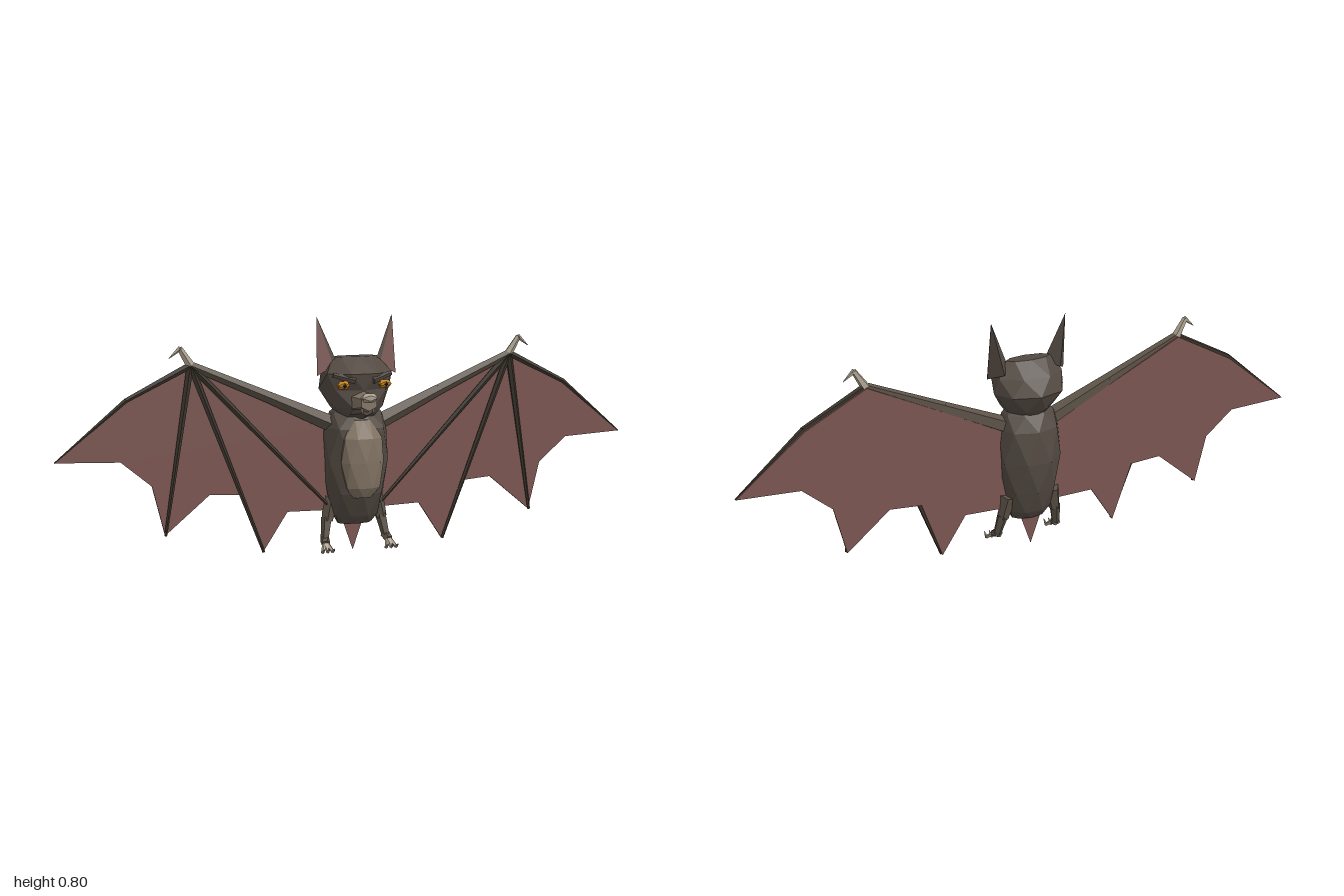
import * as THREE from 'three';
import { ConvexGeometry } from 'three/addons/geometries/ConvexGeometry.js';

const mat = (name, color, side = THREE.FrontSide) => {
  const m = new THREE.MeshStandardMaterial({ color, side });
  m.name = name;
  return m;
};
const V = (x, y, z) => new THREE.Vector3(x, y, z);

// Unshared vertices give crisp facets
function facet(g) {
  const f = g.index ? g.toNonIndexed() : g;
  f.computeVertexNormals();
  return f;
}

// Stack of eight-sided rings; each row is [y, halfWidth, zBack, zFront]
function loft(rows, n = 8) {
  const pos = [], idx = [];
  rows.forEach(([y, w, zb, zf], r) => {
    for (let i = 0; i < n; i++) {
      const a = ((i + 0.5 * (r % 2)) / n) * Math.PI * 2;
      pos.push(Math.sin(a) * w, y, (zb + zf) / 2 + Math.cos(a) * (zf - zb) / 2);
    }
  });
  for (let r = 0; r < rows.length - 1; r++) {
    const s = r % 2;
    for (let i = 0; i < n; i++) {
      const j = (i + 1) % n, a = r * n + i, b = r * n + j, c = a + n, d = b + n;
      if (s) idx.push(a, b, d, a, d, c);
      else idx.push(a, b, c, b, d, c);
    }
  }
  const top = (rows.length - 1) * n;
  for (let i = 1; i < n - 1; i++) idx.push(0, i + 1, i, top, top + i, top + i + 1);
  const g = new THREE.BufferGeometry();
  g.setAttribute('position', new THREE.Float32BufferAttribute(pos, 3));
  g.setIndex(idx);
  return facet(g);
}

// Tapered rod from a to b
function rod(a, b, ra, rb, sides = 5) {
  const d = b.clone().sub(a);
  const g = new THREE.CylinderGeometry(rb, ra, d.length(), sides);
  g.applyQuaternion(new THREE.Quaternion().setFromUnitVectors(V(0, 1, 0), d.normalize()));
  g.translate((a.x + b.x) / 2, (a.y + b.y) / 2, (a.z + b.z) / 2);
  return facet(g);
}

export function createModel() {
  const root = new THREE.Group();
  root.name = 'bat';
  const fur = mat('darkFur', 0x524941);
  const limb = mat('limbFur', 0x5c5247);
  const bone = mat('fingerBone', 0x3b352d);
  const belly = mat('bellyFur', 0x7f7161);
  const skin = mat('wingSkin', 0x7a5551, THREE.DoubleSide);
  const claw = mat('claw', 0xaaa08e);
  const amber = mat('amberEye', 0xc9851f);
  const black = mat('pupil', 0x1d1916);

  const add = (name, g, m, parent = root) => {
    const mesh = new THREE.Mesh(g, m);
    mesh.name = name;
    parent.add(mesh);
    return mesh;
  };

  // Torso, belly patch and head
  add('torso', loft([
    [0.10, 0.06, -0.06, 0.0], [0.13, 0.08, -0.082, 0.025], [0.21, 0.1, -0.11, 0.065],
    [0.32, 0.112, -0.128, 0.075], [0.43, 0.11, -0.115, 0.068], [0.48, 0.09, -0.085, 0.035],
    [0.51, 0.06, -0.06, 0.02],
  ]), fur);
  add('bellyPatch', loft([
    [0.20, 0.035, 0.02, 0.066], [0.235, 0.062, 0.01, 0.086], [0.32, 0.075, 0.01, 0.09],
    [0.40, 0.07, 0.01, 0.084], [0.46, 0.035, 0.01, 0.055],
  ]), belly);
  add('head', loft([
    [0.47, 0.065, -0.07, 0.05], [0.50, 0.09, -0.098, 0.066], [0.56, 0.125, -0.132, 0.064],
    [0.615, 0.122, -0.105, 0.078], [0.665, 0.078, -0.055, 0.0],
  ]), fur);

  // Face
  const muzzle = add('muzzle', rod(V(0, 0.518, 0.03), V(0, 0.525, 0.115), 0.045, 0.027, 6), belly);
  muzzle.scale.x = 1.15;
  add('lowerJaw', rod(V(0, 0.495, 0.03), V(0, 0.497, 0.095), 0.038, 0.016, 6), fur).scale.x = 1.4;
  const nose = add('nose', facet(new THREE.IcosahedronGeometry(0.017, 0)), claw);
  nose.position.set(0, 0.542, 0.116);
  nose.scale.x = 1.9;

  // Tail membrane
  const tail = new THREE.Shape([
    new THREE.Vector2(-0.07, 0.16), new THREE.Vector2(-0.035, 0.1), new THREE.Vector2(0, 0),
    new THREE.Vector2(0.035, 0.1), new THREE.Vector2(0.07, 0.16)]);
  add('tailMembrane', new THREE.ShapeGeometry(tail).translate(0, 0, -0.05), skin);

  for (const s of [1, -1]) {
    const P = (x, y, z) => V(x * s, y, z);
    const side = new THREE.Group();
    side.name = s > 0 ? 'leftSide' : 'rightSide';
    root.add(side);
    const put = (name, g, m) => add(name, g, m, side);

    // Wing skin
    const outline = [[0.04, 0.42], [0.1, 0.43], [0.56, 0.655], [0.77, 0.545], [1, 0.36],
      [0.79, 0.35], [0.69, 0.265], [0.65, 0.1], [0.5, 0.225], [0.39, 0.217],
      [0.32, 0.02], [0.235, 0.15], [0.04, 0.145]];
    const wing = new THREE.Shape(outline.map(([x, y]) => new THREE.Vector2(x * s, y)));
    put('wingMembrane', new THREE.ExtrudeGeometry(wing, { depth: 0.007, bevelEnabled: false })
      .translate(0, 0, -0.042), skin);

    // Arm, finger bones and thumb claw
    const wrist = P(0.56, 0.655, -0.025);
    put('upperArm', rod(P(0.07, 0.435, -0.025), P(0.3, 0.54, -0.025), 0.03, 0.02), limb);
    put('forearm', rod(P(0.3, 0.54, -0.025), wrist, 0.02, 0.014), limb);
    put('outerFinger', rod(wrist, P(0.77, 0.55, -0.028), 0.012, 0.008), bone);
    put('outerFingerTip', rod(P(0.77, 0.55, -0.028), P(1, 0.36, -0.036), 0.008, 0.002), bone);
    for (const [x, y] of [[0.65, 0.1], [0.32, 0.02], [0.09, 0.16]])
      put('finger', rod(wrist, P(x, y, -0.03), 0.012, 0.005), bone);
    put('thumb', rod(wrist, P(0.595, 0.712, -0.022), 0.015, 0.009), claw);
    put('thumbClaw', rod(P(0.592, 0.712, -0.022), P(0.63, 0.68, -0.02), 0.009, 0.001), claw);

    // Ear shell with a coloured inner face
    const inner = P(0.065, 0.64, -0.012), outer = P(0.138, 0.605, -0.01), tip = P(0.132, 0.8, -0.033);
    put('ear', new ConvexGeometry([inner, outer, P(0.1, 0.63, -0.065), tip]), fur);
    const pink = [P(0.08, 0.633, -0.008), P(0.137, 0.607, -0.006), P(0.132, 0.795, -0.029)];
    if (s < 0) pink.reverse();
    const innerEar = new THREE.BufferGeometry().setFromPoints(pink);
    innerEar.computeVertexNormals();
    put('innerEar', innerEar, skin);

    // Eye, brow and fang
    const eye = put('eye', facet(new THREE.IcosahedronGeometry(0.019, 0)), amber);
    eye.position.set(s * 0.072, 0.58, 0.066);
    eye.scale.set(1.3, 0.85, 0.85);
    const pupil = put('pupil', facet(new THREE.OctahedronGeometry(0.008, 0)), black);
    pupil.position.set(s * 0.072, 0.58, 0.081);
    pupil.scale.z = 0.5;
    put('brow', rod(P(0.03, 0.593, 0.066), P(0.1, 0.612, 0.045), 0.013, 0.008), fur);
    put('fang', rod(P(0.02, 0.51, 0.104), P(0.02, 0.48, 0.105), 0.006, 0.001, 4), claw);

    // Leg, foot and toes
    put('thigh', rod(P(0.08, 0.19, -0.045), P(0.097, 0.11, -0.035), 0.028, 0.02), limb);
    put('shin', rod(P(0.097, 0.12, -0.036), P(0.11, 0.045, -0.018), 0.02, 0.014), limb);
    put('foot', rod(P(0.108, 0.05, -0.025), P(0.113, 0.038, 0.002), 0.017, 0.014), limb);
    for (const x of [0.095, 0.113, 0.131]) {
      put('toe', rod(P(0.112, 0.045, -0.008), P(x, 0.016, 0.024), 0.009, 0.006), claw);
      put('toeClaw', rod(P(x, 0.016, 0.022), P(x, 0.03, 0.043), 0.006, 0.001), claw);
    }
  }
  return root;
}
